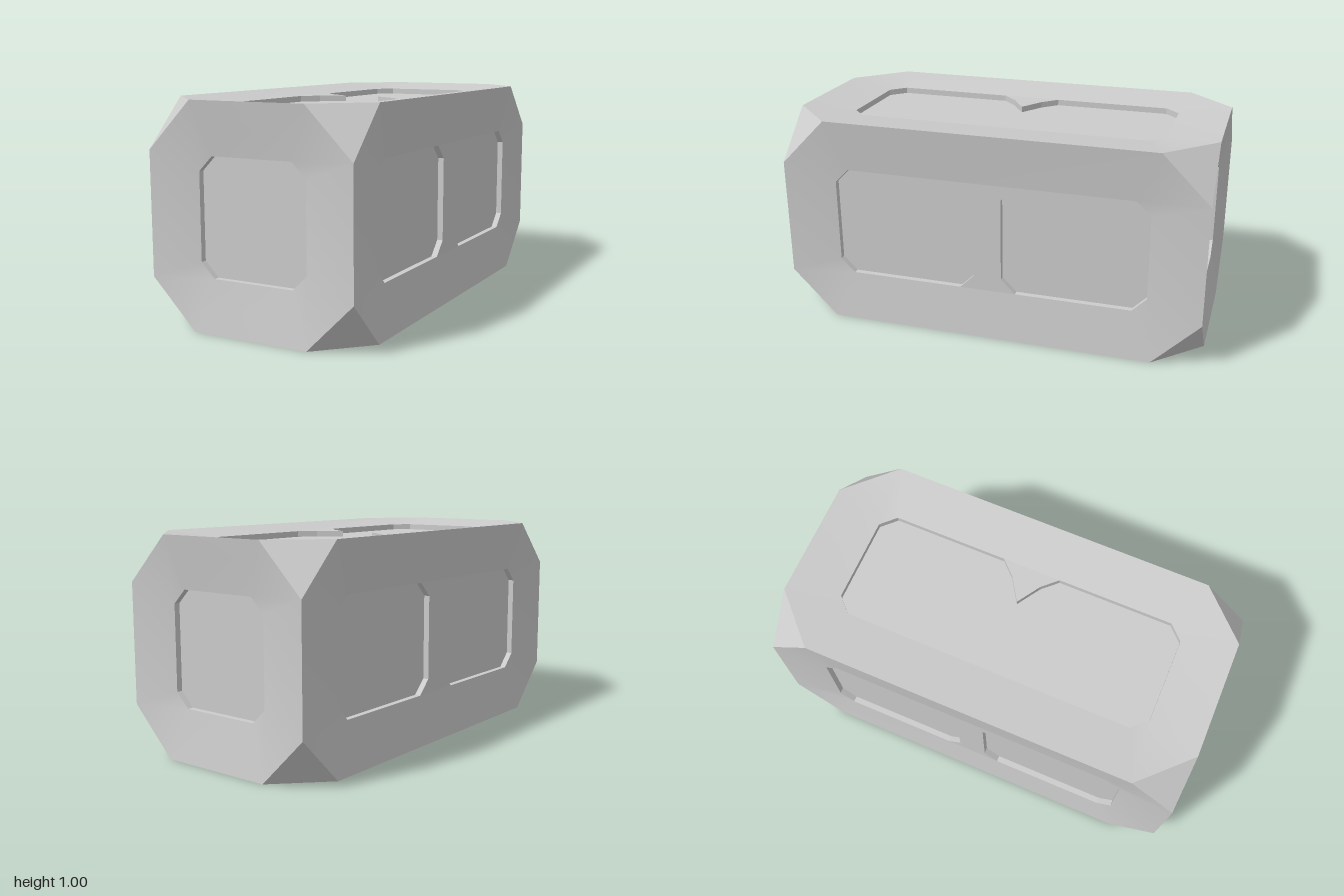
import * as THREE from 'three';

const CUT = 0.22;    // length of each corner cut along the edges
const DEPTH = 0.028; // depth of the panel walls
const CHAMFER = 0.067;

const material = new THREE.MeshStandardMaterial({ color: 0xcccccc });
const toPoints = (list) => list.map(([x, y]) => new THREE.Vector2(x, y));

// Counter-clockwise rectangle with chamfered corners
function octagon(cx, w, h, c) {
  const x = w / 2, y = h / 2;
  return toPoints([[x, -y + c], [x, y - c], [x - c, y], [-x + c, y], [-x, y - c], [-x, -y + c], [-x + c, -y], [x - c, -y]]
    .map(([px, py]) => [cx + px, py]));
}

function makeGeometry(pos, index = null) {
  const g = new THREE.BufferGeometry();
  g.setAttribute('position', new THREE.Float32BufferAttribute(pos, 3));
  g.setIndex(index);
  g.computeVertexNormals();
  return g;
}

// Shallow funnel from the outer octagon down to the sunken inner one
function collarGeometry(outer, inner, sink) {
  const pos = [], index = [], n = outer.length;
  outer.forEach((p) => pos.push(p.x, p.y, 0));
  inner.forEach((p) => pos.push(p.x, p.y, -sink));
  for (let i = 0; i < n; i++) {
    const j = (i + 1) % n;
    index.push(i, j, n + j, i, n + j, n + i);
  }
  return makeGeometry(pos, index);
}

// Inward-facing walls running from the collar down to the panel floor
function wallGeometry(points) {
  const pos = [];
  points.forEach((a, i) => {
    const b = points[(i + 1) % points.length];
    pos.push(a.x, a.y, 0, b.x, b.y, 0, b.x, b.y, -DEPTH);
    pos.push(a.x, a.y, 0, b.x, b.y, -DEPTH, a.x, a.y, -DEPTH);
  });
  return makeGeometry(pos);
}

function addMesh(parent, geometry, name, z = 0) {
  const mesh = new THREE.Mesh(geometry, material);
  mesh.name = name;
  mesh.position.z = z;
  parent.add(mesh);
  return mesh;
}

const flat = (points) => new THREE.ShapeGeometry(new THREE.Shape(points));

// One side of the block: sloping collar, sunken panels and the bridges between them
function makeFace(name, w, h, { inner, sink, panels, bridges }) {
  const face = new THREE.Group();
  face.name = name;
  addMesh(face, collarGeometry(octagon(0, w, h, CUT), inner, sink), 'collar');
  for (const points of bridges) addMesh(face, flat(points), 'panelBridge', -sink);
  for (const points of panels) {
    addMesh(face, wallGeometry(points), 'panelWall', -sink);
    addMesh(face, flat(points), 'panelFloor', -sink - DEPTH);
  }
  return face;
}

// Single square panel
function endLayout() {
  const inner = octagon(0, 0.528, 0.528, CHAMFER);
  return { inner, sink: 0.037, panels: [inner], bridges: [] };
}

// Two panels with a bar between them
function sideLayout() {
  const y = 0.264, gap = 0.067, x = gap + CHAMFER, end = 0.748;
  const center = (gap + end) / 2;
  return {
    inner: octagon(0, 2 * end, 2 * y, CHAMFER),
    sink: 0.027,
    panels: [-center, center].map((cx) => octagon(cx, end - gap, 2 * y, CHAMFER)),
    bridges: [toPoints([[x, y], [-x, y], [-gap, y - CHAMFER], [-gap, -y + CHAMFER],
      [-x, -y], [x, -y], [gap, -y + CHAMFER], [gap, y - CHAMFER]])],
  };
}

// Two panels merged through a pinched waist
function longLayout() {
  const notch = [[0.267, -0.14], [0.2, -0.07], [0.09, 0], [0.2, 0.07], [0.267, 0.14]];
  const half = [...notch, [0.267, 0.688], [0.2, 0.755], [-0.2, 0.755], [-0.267, 0.688]];
  const opposite = notch.map(([x, y]) => [-x, -y]);
  return {
    inner: octagon(0, 0.534, 1.51, CHAMFER),
    sink: 0.027,
    panels: [toPoints([...half, ...opposite, [-0.267, -0.688], [-0.2, -0.755], [0.2, -0.755], [0.267, -0.688]])],
    bridges: [toPoints(notch), toPoints(opposite)],
  };
}

export function createModel() {
  const model = new THREE.Group();
  model.name = 'block';
  const end = endLayout(), side = sideLayout(), long = longLayout();
  const q = Math.PI / 2;

  // name, width, height, layout, rotation about x and y, distance from the centre
  const faces = [
    ['frontFace', 1, 1, end, 0, 0, 1],
    ['backFace', 1, 1, end, 0, 2 * q, 1],
    ['leftFace', 2, 1, side, 0, q, 0.5],
    ['rightFace', 2, 1, side, 0, -q, 0.5],
    ['topFace', 1, 2, long, -q, 0, 0.5],
    ['bottomFace', 1, 2, long, q, 0, 0.5],
  ];
  for (const [name, w, h, layout, rx, ry, distance] of faces) {
    const face = makeFace(name, w, h, layout);
    face.rotation.set(rx, ry, 0);
    face.position.y = 0.5;
    face.translateZ(distance);
    model.add(face);
  }

  // Triangular cuts on the eight corners
  for (const sx of [-1, 1]) for (const sy of [-1, 1]) for (const sz of [-1, 1]) {
    const x = sx * 0.5, y = sy * 0.5, z = sz;
    const a = [x - sx * CUT, y, z], b = [x, y - sy * CUT, z], c = [x, y, z - sz * CUT];
    const order = sx * sy * sz > 0 ? [a, b, c] : [a, c, b];
    addMesh(model, makeGeometry(order.flat()), 'cornerCut').position.y = 0.5;
  }
  return model;
}
